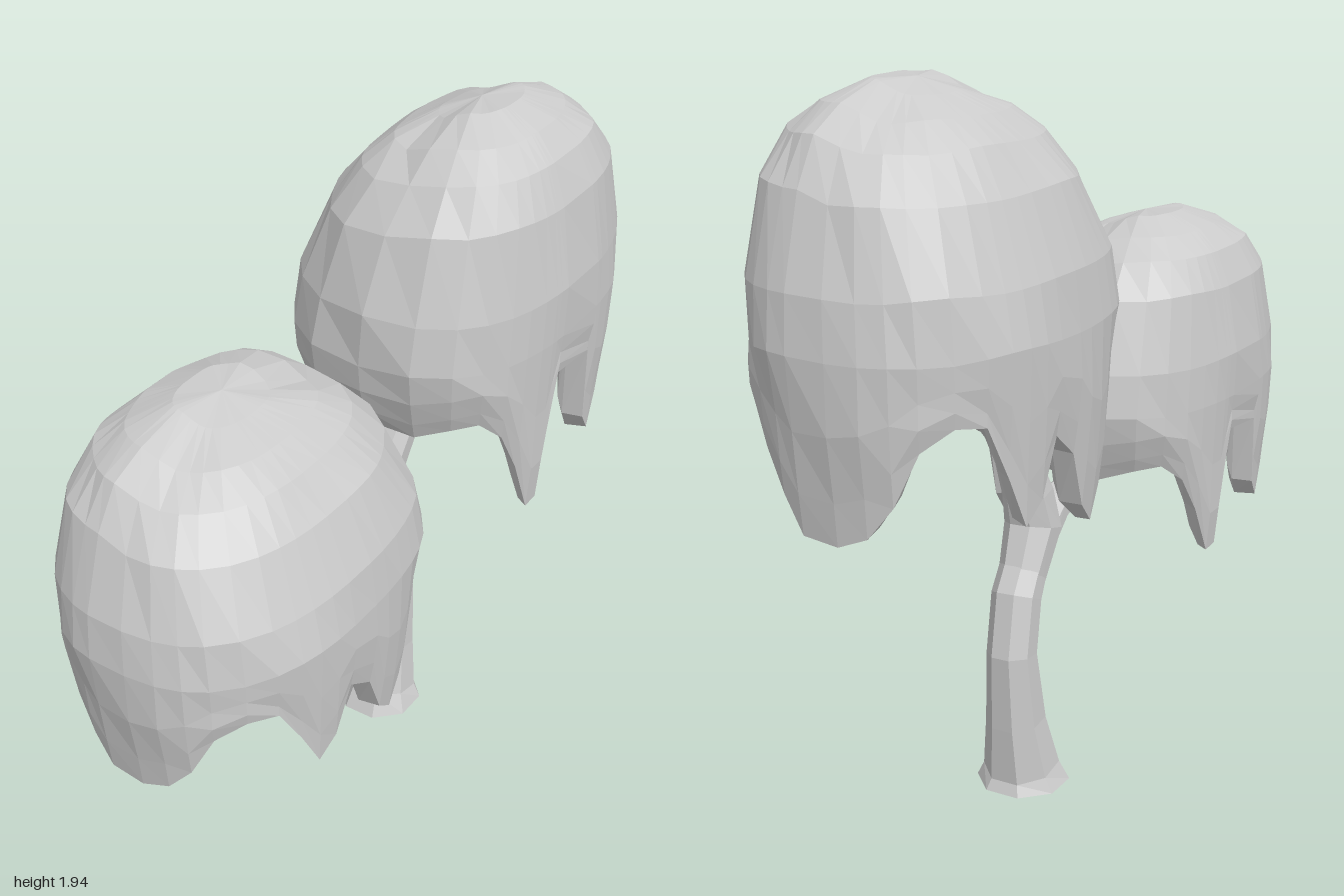
import * as THREE from 'three';

const material = new THREE.MeshStandardMaterial({ color: 0xcccccc, flatShading: true });

function meshFrom(name, positions, index) {
  const geometry = new THREE.BufferGeometry();
  geometry.setAttribute('position', new THREE.Float32BufferAttribute(positions, 3));
  geometry.setIndex(index);
  geometry.computeVertexNormals();
  const mesh = new THREE.Mesh(geometry, material);
  mesh.name = name;
  return mesh;
}

// Tapered limb through stations [x, y, z, radius]
function limb(name, stations, sides = 8) {
  const pts = stations.map(([x, y, z]) => new THREE.Vector3(x, y, z));
  const up = new THREE.Vector3(0, 1, 0);
  const positions = [], index = [];
  stations.forEach(([, , , r], k) => {
    const dir = pts[Math.min(k + 1, pts.length - 1)].clone().sub(pts[Math.max(k - 1, 0)]).normalize();
    if (stations[k][1] === 0) dir.copy(up); // flat foot on the ground
    const q = new THREE.Quaternion().setFromUnitVectors(up, dir);
    for (let i = 0; i < sides; i++) {
      const a = ((i + 0.5) / sides) * Math.PI * 2;
      const p = new THREE.Vector3(Math.sin(a) * r, 0, Math.cos(a) * r).applyQuaternion(q).add(pts[k]);
      positions.push(p.x, p.y, p.z);
    }
  });
  const last = pts.length - 1;
  for (let i = 0; i < sides; i++) {
    const j = (i + 1) % sides;
    for (let k = 0; k < last; k++) {
      const a = k * sides + i, b = k * sides + j;
      index.push(a, b, a + sides, b, b + sides, a + sides);
    }
    if (i > 0 && i < sides - 1) {
      index.push(0, j, i); // bottom cap
      index.push(last * sides, last * sides + i, last * sides + j); // top cap
    }
  }
  return meshFrom(name, positions, index);
}

// Ragged hem of the foliage: [angle in degrees, hem height, hem radius factor]
const HEM = [
  [0, 1.15, 0.87], [20, 1.14, 0.88], [40, 1.16, 0.91], [54, 1.19, 0.93], [62, 1.1, 0.93],
  [69, 0.92, 0.93], [76, 0.84, 0.92], [83, 0.9, 0.93], [88, 1.05, 0.94], [94, 1.12, 0.95],
  [100, 0.98, 0.95], [107, 0.93, 0.95], [114, 1.06, 0.95], [123, 1.2, 0.97], [135, 1.21, 0.97],
  [148, 1.16, 0.96], [158, 1.03, 0.95], [168, 0.95, 0.94], [178, 0.92, 0.94], [188, 0.93, 0.94],
  [196, 1.02, 0.95], [206, 1.12, 0.96], [216, 1.2, 0.97], [227, 1.19, 0.97], [237, 1.18, 0.96],
  [245, 1.0, 0.95], [252, 0.91, 0.94], [259, 0.98, 0.95], [262, 1.22, 0.97], [276, 1.24, 0.97],
  [279, 1.0, 0.94], [281, 0.85, 0.93], [286, 0.84, 0.93], [293, 1.0, 0.93], [301, 1.12, 0.93],
  [312, 1.18, 0.92], [325, 1.17, 0.9], [342, 1.14, 0.88],
];

// Dome from crown to widest ring: [radius factor, height, sideways lean]
const DOME = [
  [0, 1.91, 0.05], [0.25, 1.9, 0.05], [0.5, 1.855, 0.05], [0.68, 1.795, 0.045],
  [0.84, 1.69, 0.03], [0.97, 1.5, 0.01], [1, 1.36, 0],
];

// Foliage: outer dome, hanging hem, then a shallow underside
function canopy(name) {
  const n = HEM.length, positions = [], index = [];
  const spread = (v) => Math.sign(v) * Math.abs(v) ** 0.8;
  let rings = 0;
  HEM.forEach(([deg, hem, rim]) => {
    const a = THREE.MathUtils.degToRad(deg);
    const ox = 0.378 * spread(Math.sin(a)), oz = -0.515 * spread(Math.cos(a));
    const levels = [...DOME];
    // the wall bulges before it curls in to the hem
    for (const f of [0.4, 0.75, 1]) levels.push([1 + (rim - 1) * f ** 1.8, 1.36 + (hem - 1.36) * f, 0]);
    const hemRing = levels.length - 1;
    const lip = hem < 0.9 ? 0.09 : 0.15; // the longest strands end thinner
    levels.push([rim - lip, hem + 0.005, 0], [rim - 0.19, hem + 0.06, 0],
      [rim - 0.22, Math.max(hem + 0.07, 1.23), 0], [0.45, 1.3, 0], [0, 1.32, 0]);
    rings = levels.length;
    levels.forEach(([r, y, lean], k) => {
      const outer = k > 0 && k < hemRing;
      // slow ripple keeps the facets irregular
      const ripple = outer ? 0.009 * Math.sin(5 * a + 1.7 * k) + 0.006 * Math.sin(8 * a - 2.3 * k) : 0;
      const x = -0.022 - lean + ox * r * (1 + ripple);
      // one side of the crown stands higher
      const ridge = k < 5 ? 0.035 * THREE.MathUtils.smoothstep(-x, 0.01, 0.11) : 0;
      positions.push(x, y + ridge + ripple * r * 0.5, 0.48 + oz * r * (1 + ripple));
    });
  });
  for (let i = 0; i < n; i++) {
    for (let k = 0; k < rings - 1; k++) {
      const a = i * rings + k, c = ((i + 1) % n) * rings + k;
      if (k > 0) index.push(a, c, a + 1);
      if (k < rings - 2) index.push(c, c + 1, a + 1);
    }
  }
  return meshFrom(name, positions, index);
}

export function createModel() {
  const tree = new THREE.Group();
  tree.name = 'weepingTree';

  // Trunk bending forward into the lower branch
  tree.add(limb('trunk', [
    [-0.06, 0, -0.22, 0.128], [-0.06, 0.05, -0.23, 0.105], [-0.06, 0.2, -0.26, 0.082],
    [-0.06, 0.4, -0.28, 0.068], [-0.055, 0.55, -0.245, 0.068], [-0.05, 0.66, -0.17, 0.064],
    [-0.05, 0.735, -0.04, 0.05], [-0.05, 0.79, 0.14, 0.042], [-0.05, 0.83, 0.22, 0.036],
  ]));

  // Upper branch, flaring where it leaves the trunk
  tree.add(limb('upperBranch', [
    [-0.055, 0.55, -0.235, 0.06], [-0.05, 0.72, -0.145, 0.078], [-0.045, 0.82, -0.165, 0.07],
    [-0.035, 0.92, -0.205, 0.06], [-0.02, 1.02, -0.26, 0.052], [0, 1.13, -0.36, 0.046],
    [0.01, 1.24, -0.46, 0.042],
  ]));

  // Forked twigs holding each canopy
  for (const s of [-1, 1]) {
    tree.add(limb('lowerTwig', [
      [-0.05, 0.785, 0.1, 0.042], [-0.045 + s * 0.08, 0.83, 0.25, 0.038], [-0.04 + s * 0.17, 0.91, 0.41, 0.032],
    ], 6));
    tree.add(limb('upperTwig', [
      [-0.01, 1.06, -0.31, 0.044], [0.01 + s * 0.08, 1.19, -0.45, 0.038], [0.02 + s * 0.17, 1.31, -0.58, 0.03],
    ], 6));
  }

  // Lower canopy in front, squashed; upper canopy turned to the back
  const lower = canopy('lowerCanopy');
  lower.scale.y = 0.855;
  lower.position.y = -0.168;
  const upper = canopy('upperCanopy');
  upper.rotation.y = Math.PI;
  tree.add(lower, upper);

  return tree;
}
